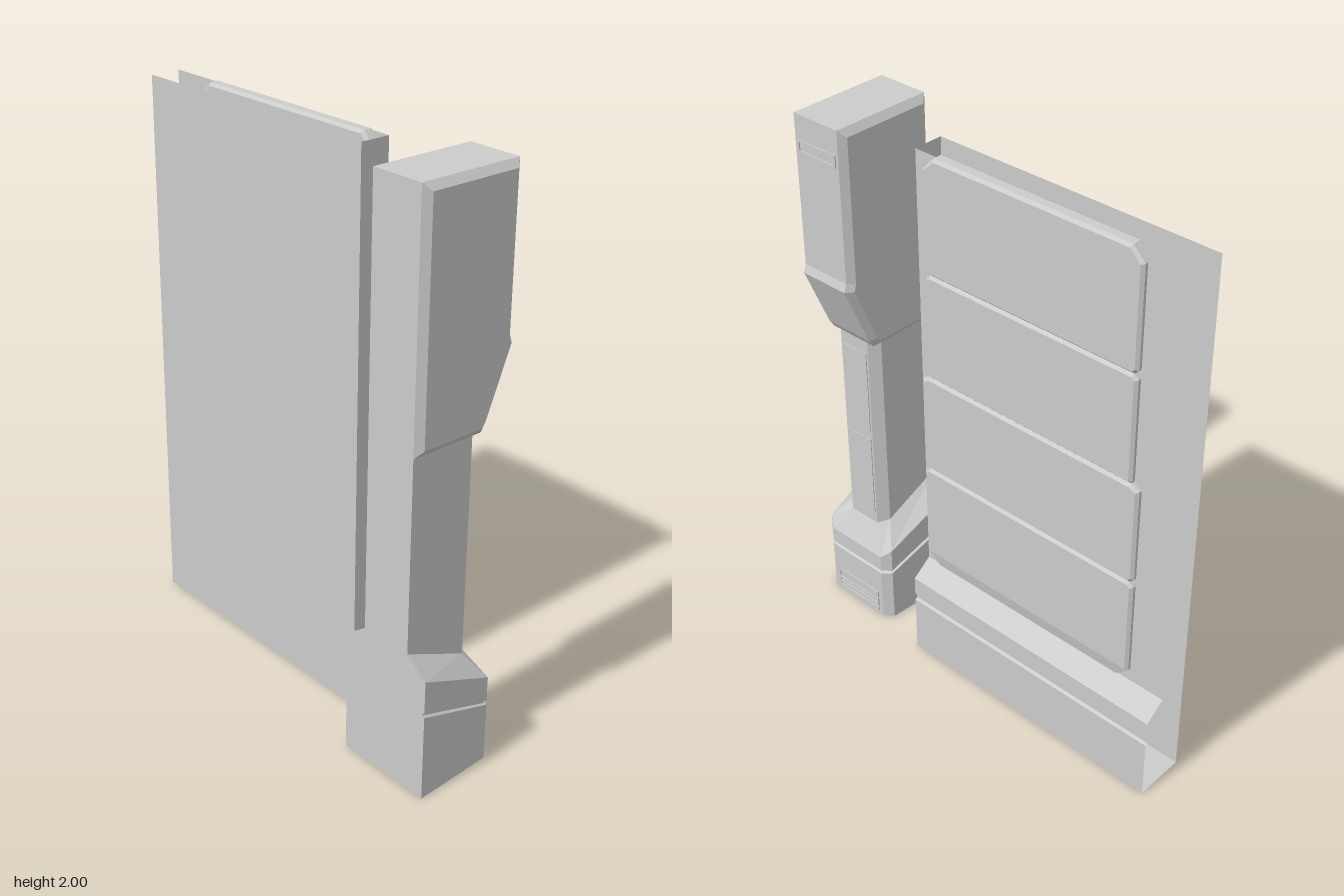
import * as THREE from 'three';

const grey = new THREE.MeshStandardMaterial({ color: 0xcccccc, flatShading: true });
const greySheet = new THREE.MeshStandardMaterial({ color: 0xcccccc, flatShading: true, side: THREE.DoubleSide });
const COLUMN_Z = 0.605;

function add(parent, name, geometry, material = grey) {
  const mesh = new THREE.Mesh(geometry, material);
  mesh.name = name;
  parent.add(mesh);
  return mesh;
}

function box(parent, name, w, h, d, x, y, z) {
  add(parent, name, new THREE.BoxGeometry(w, h, d)).position.set(x, y, z);
}

function bufferFrom(points, index) {
  const g = new THREE.BufferGeometry();
  g.setAttribute('position', new THREE.Float32BufferAttribute(points.flat(), 3));
  g.setIndex(index);
  const flat = g.toNonIndexed();
  flat.computeVertexNormals();
  return flat;
}

// Closed rings of equal length, counter-clockwise from above, joined and capped
function loft(rings) {
  const n = rings[0].length, index = [];
  for (let r = 0; r < rings.length - 1; r++) {
    for (let i = 0; i < n; i++) {
      const j = (i + 1) % n, a = r * n + i, b = r * n + j;
      index.push(a, b, b + n, a, b + n, a + n);
    }
  }
  const top = (rings.length - 1) * n;
  for (let i = 1; i < n - 1; i++) {
    index.push(0, i + 1, i, top, top + i, top + i + 1);
  }
  return bufferFrom(rings.flat(), index);
}

// Mirrored six-point ring: three [x, halfWidth] points, each with its own height
function ring(plan, heights) {
  const half = plan.map(([x, z], i) => [x, heights[i], z]);
  return [...half, ...half.map(([x, y, z]) => [x, y, -z]).reverse()];
}

function shapeOf(points) {
  return new THREE.Shape(points.map(([x, y]) => new THREE.Vector2(x, y)));
}

function makeColumn() {
  const column = new THREE.Group();
  column.name = 'column';
  column.position.z = COLUMN_Z;

  const foot = [[-0.2, 0.18], [0.1, 0.16], [0.125, 0.125]];
  const groove = [[-0.2, 0.171], [0.094, 0.152], [0.117, 0.12]];
  const shaft = [[-0.2, 0.097], [0.04, 0.097], [0.075, 0.065]];
  const shoulder = [0.5, 0.4, 0.385];

  // Foot with a sloping groove and shoulder
  add(column, 'columnFoot', loft([
    ring(foot, [0, 0, 0]),
    ring(foot, [0.308, 0.21, 0.207]),
    ring(groove, [0.314, 0.215, 0.212]),
    ring(groove, [0.32, 0.222, 0.218]),
    ring(foot, [0.326, 0.228, 0.224]),
    ring(foot, [0.44, 0.315, 0.285]),
    ring(shaft, shoulder),
  ]));
  add(column, 'columnShaft', loft([ring(shaft, shoulder), ring(shaft, [1.18, 1.18, 1.18])]));

  // Inlay plates on the shaft
  for (const [y0, y1] of [[0.43, 0.76], [0.795, 1.12]]) {
    box(column, 'shaftInlay', 0.006, y1 - y0, 0.115, 0.075, (y0 + y1) / 2, 0);
  }

  // Overhanging head, chamfered on all edges
  const head = new THREE.ExtrudeGeometry(shapeOf([
    [-0.2, 1.17], [0.075, 1.17], [0.095, 1.2], [0.19, 1.43], [0.18, 1.46], [0.18, 2], [-0.2, 2],
  ]), {
    depth: 0.194, bevelEnabled: true, bevelSegments: 1,
    bevelSize: 0.025, bevelOffset: -0.025, bevelThickness: 0.02,
  });
  head.translate(0, 0, -0.097);
  // The extrusion chamfers its end faces; keep it centred on the shaft
  add(column, 'columnHead', head);

  // Slot frame near the top of the head
  for (const y of [1.873, 1.91]) box(column, 'slotRail', 0.008, 0.008, 0.172, 0.18, y, 0);
  for (const z of [-0.082, 0.082]) box(column, 'slotEnd', 0.008, 0.036, 0.008, 0.18, 1.892, z);

  // Vent on the foot
  for (const y of [0.022, 0.042, 0.062, 0.099]) box(column, 'ventSlat', 0.008, 0.01, 0.21, 0.125, y, 0);
  for (const z of [-0.103, 0.103]) box(column, 'ventEnd', 0.008, 0.085, 0.006, 0.125, 0.06, z);
  return column;
}

// One padded panel; corner cuts are given for its bottom and top
function panelGeometry(y0, y1, half, cutBottom, cutTop) {
  const [bx, by] = cutBottom, [tx, ty] = cutTop;
  const right = [[half - bx, y0], [half, y0 + by], [half, y1 - ty], [half - tx, y1]];
  const outline = [...right, ...right.map(([u, y]) => [-u, y]).reverse()];
  const g = new THREE.ExtrudeGeometry(shapeOf(outline), {
    depth: 0.03, bevelEnabled: true, bevelSegments: 1,
    bevelSize: 0.01, bevelOffset: -0.01, bevelThickness: 0.01,
  });
  g.rotateY(Math.PI / 2);
  g.translate(0.06, 0, -0.197);
  return g;
}

function makeWall() {
  const wall = new THREE.Group();
  wall.name = 'wall';
  const z0 = -0.785, z1 = 0.27;

  // Hollow shell, open at the top and the far end
  const profile = [
    [-0.03, 1.985], [-0.03, 0], [0.155, 0], [0.155, 0.225], [0.146, 0.232], [0.146, 0.246],
    [0.155, 0.253], [0.155, 0.325], [0.08, 0.38], [0.08, 1.985],
  ];
  const points = profile.flatMap(([x, y]) => [[x, y, z0], [x, y, z1]]);
  const index = [];
  for (let i = 0; i < profile.length - 1; i++) {
    const a = i * 2;
    index.push(a, a + 1, a + 3, a, a + 3, a + 2);
  }
  add(wall, 'wallShell', bufferFrom(points, index), greySheet);
  add(wall, 'wallEnd', new THREE.ShapeGeometry(shapeOf(profile)), greySheet).position.z = z1;

  // Stack of four panels separated by grooves
  const notch = [0.016, 0.016];
  const bottom = panelGeometry(0.385, 0.803, 0.452, [0.05, 0.045], notch);
  const p = bottom.attributes.position;
  // Slope the lower edge of the bottom panel
  for (let i = 0; i < p.count; i++) {
    if (p.getX(i) > 0.095) p.setY(i, Math.max(p.getY(i), 0.436));
  }
  bottom.computeVertexNormals();
  add(wall, 'bottomPanel', bottom);
  add(wall, 'lowerPanel', panelGeometry(0.803, 1.182, 0.452, notch, [0.03, 0.016]));
  add(wall, 'upperPanel', panelGeometry(1.182, 1.573, 0.424, [0.004, 0.012], notch));
  add(wall, 'topPanel', panelGeometry(1.573, 1.985, 0.424, notch, [0.045, 0.045]));
  return wall;
}

export function createModel() {
  const model = new THREE.Group();
  model.name = 'wallAndColumn';
  model.add(makeColumn(), makeWall());
  return model;
}
